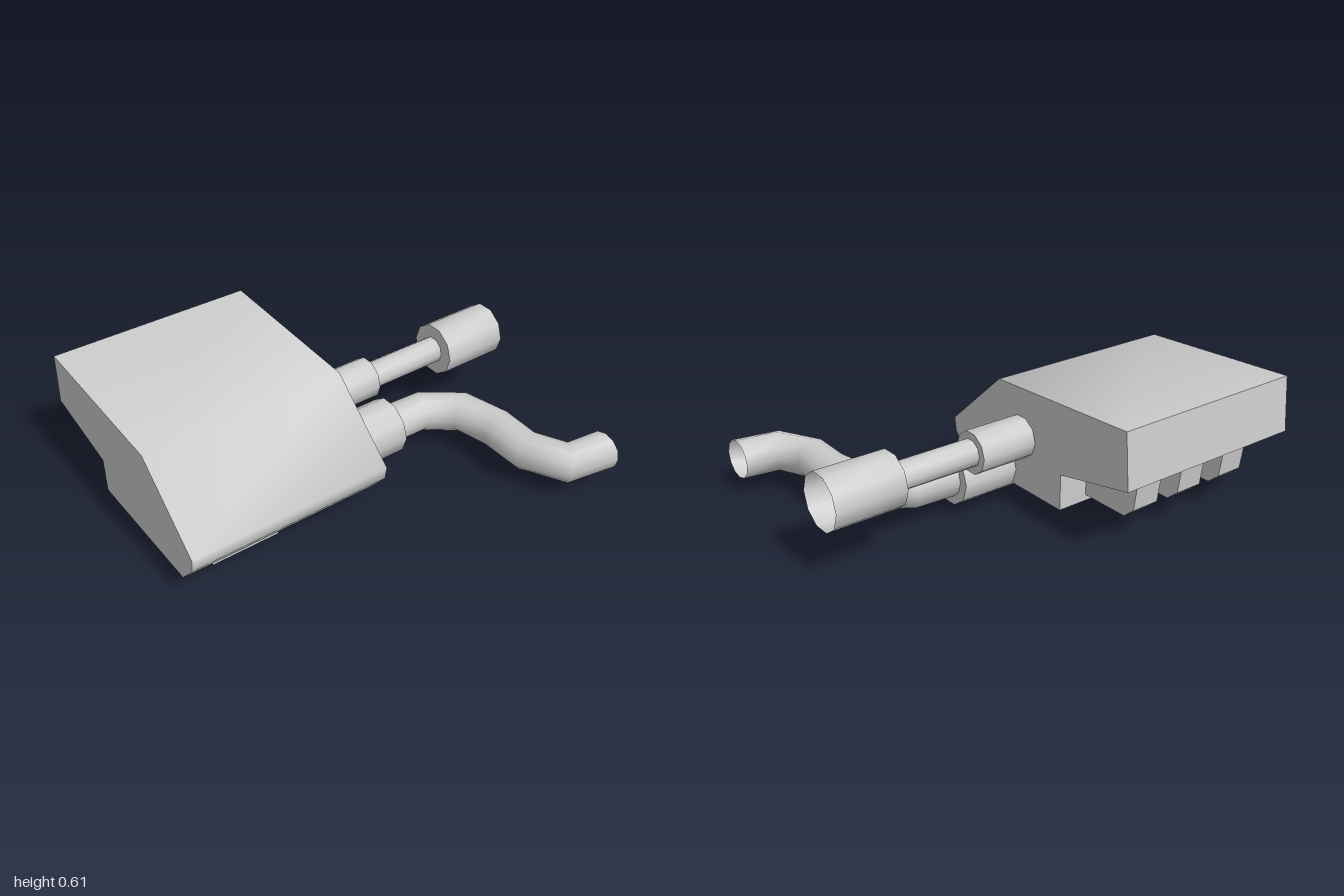
import * as THREE from 'three';
import { toCreasedNormals } from 'three/addons/utils/BufferGeometryUtils.js';

const material = new THREE.MeshStandardMaterial({ color: 0xcccccc, side: THREE.DoubleSide });

function addMesh(parent, name, geometry) {
  const mesh = new THREE.Mesh(geometry, material);
  mesh.name = name;
  parent.add(mesh);
}

// Side profile of [z, y] points, extruded from x0 to x1
function sideExtrusion(profile, x0, x1, crease) {
  const shape = new THREE.Shape(profile.map(([z, y]) => new THREE.Vector2(-z, y)));
  const geometry = new THREE.ExtrudeGeometry(shape, { depth: x1 - x0, bevelEnabled: false });
  geometry.rotateY(Math.PI / 2).translate(x0, 0, 0);
  return toCreasedNormals(geometry, crease);
}

// Ten-sided turned part along x from [radius, x] points
function turnedAlongX(profile, y, z) {
  const points = profile.map(([r, x]) => new THREE.Vector2(r, x));
  const geometry = new THREE.LatheGeometry(points, 10);
  geometry.rotateZ(-Math.PI / 2).translate(0, y, z);
  return toCreasedNormals(geometry, 0.8);
}

// Mitred pipe: each ring spans an inner and outer [x, z] point, at height y
function mitredPipe(rings, y, radius, sides) {
  const positions = [], indices = [];
  rings.forEach(([ax, az, bx, bz], i) => {
    for (let j = 0; j < sides; j++) {
      const t = (j / sides) * Math.PI * 2, c = Math.cos(t) / 2;
      positions.push((ax + bx) / 2 + (ax - bx) * c, y + radius * Math.sin(t), (az + bz) / 2 + (az - bz) * c);
      if (i === 0) continue;
      const k = (j + 1) % sides, p = (i - 1) * sides, q = i * sides;
      indices.push(p + j, p + k, q + j, p + k, q + k, q + j);
    }
  });
  const geometry = new THREE.BufferGeometry();
  geometry.setAttribute('position', new THREE.Float32BufferAttribute(positions, 3));
  geometry.setIndex(indices);
  geometry.computeVertexNormals();
  return geometry;
}

export function createModel() {
  const model = new THREE.Group();
  model.name = 'pipedHousing';

  // Wedge-shaped housing with a softly rounded nose
  addMesh(model, 'housing', sideExtrusion([
    [0, 0.575], [-0.82, 0.61], [-0.845, 0.35], [-0.435, 0.265], [-0.435, 0.093],
    [0.25, 0.093], [0.34, 0.2], [0.35, 0.265],
  ], -1, -0.02, 1.0));

  // Three bevelled blocks below the rear overhang
  const block = [[-0.43, 0.122], [-0.68, 0.122], [-0.735, 0.17], [-0.757, 0.34], [-0.43, 0.28]];
  for (const x of [-0.77, -0.505, -0.24]) {
    addMesh(model, 'rearBlock', sideExtrusion(block, x - 0.07, x + 0.07, 0.2));
  }

  // Foot under the housing
  addMesh(model, 'foot', sideExtrusion(
    [[0.175, 0], [-0.16, 0], [-0.25, 0.093], [-0.25, 0.12], [0.175, 0.12]], -0.82, -0.485, 0.2));

  // Upper straight pipe with collar and open tip
  addMesh(model, 'upperPipe', turnedAlongX(
    [[0, -0.1], [0.1, -0.1], [0.1, 0.26], [0.065, 0.26], [0.065, 0.665], [0.13, 0.665], [0.13, 1]], 0.35, -0.16));

  // Lower collar running under the housing into the foot
  addMesh(model, 'lowerCollar', turnedAlongX(
    [[0, -0.6], [0.137, -0.6], [0.137, 0.26], [0.09, 0.26]], 0.17, 0.01));

  // Bent lower pipe with an open end
  addMesh(model, 'bentPipe', mitredPipe([
    [0.2, -0.085, 0.2, 0.1], [0.48, -0.07, 0.42, 0.105], [0.69, 0.09, 0.525, 0.185],
    [0.75, 0.34, 0.56, 0.35], [0.74, 0.53, 0.56, 0.555], [0.79, 0.64, 0.69, 0.795],
    [0.935, 0.655, 0.94, 0.84],
  ], 0.17, 0.095, 12));

  return model;
}
